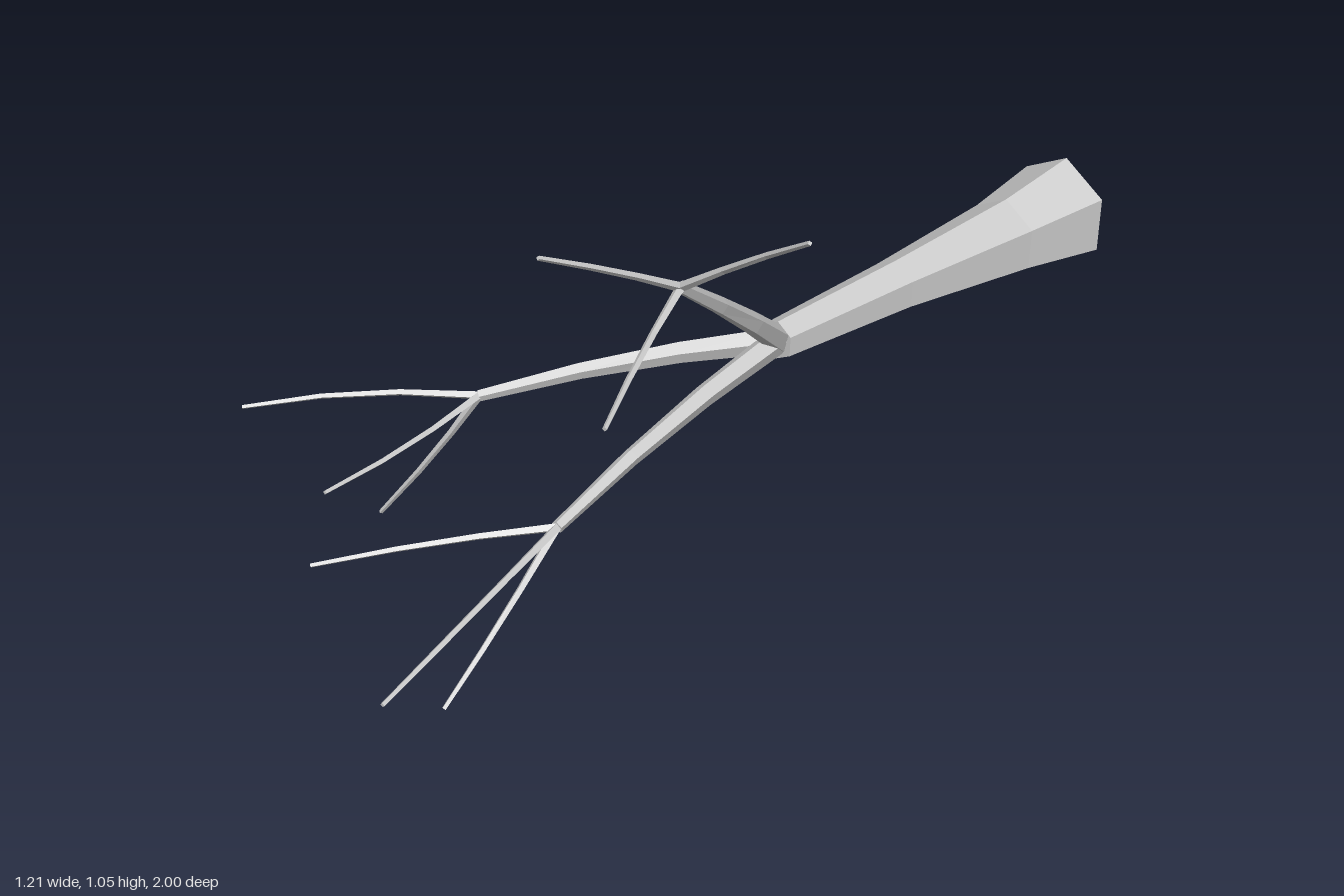
import * as THREE from 'three';

const V = (p) => new THREE.Vector3(...p);

// Closed faceted tube swept through points, one radius per ring
function limb(name, points, radii, sides, material) {
  const pts = points.map(V);
  const rings = radii.length;
  const curve = new THREE.CatmullRomCurve3(pts);
  const pos = [], index = [];
  for (let i = 0; i < rings; i++) {
    const t = i / (rings - 1);
    const centre = curve.getPoint(t);
    const dir = curve.getTangent(t);
    const side = new THREE.Vector3(0, 1, 0).cross(dir).normalize();
    const up = dir.clone().cross(side);
    for (let j = 0; j < sides; j++) {
      const a = (j / sides) * Math.PI * 2;
      const p = centre.clone()
        .addScaledVector(up, Math.cos(a) * radii[i])
        .addScaledVector(side, -Math.sin(a) * radii[i]);
      pos.push(p.x, p.y, p.z);
    }
  }
  // Side walls
  for (let i = 0; i < rings - 1; i++) {
    for (let j = 0; j < sides; j++) {
      const k = (j + 1) % sides;
      const a = i * sides + j, b = i * sides + k;
      const c = a + sides, d = b + sides;
      index.push(a, c, b, b, c, d);
    }
  }
  // End caps
  const last = (rings - 1) * sides;
  for (let j = 1; j < sides - 1; j++) {
    index.push(0, j, j + 1);
    index.push(last, last + j + 1, last + j);
  }
  // Orient every face outward
  const geo = new THREE.BufferGeometry();
  geo.setAttribute('position', new THREE.Float32BufferAttribute(pos, 3));
  const first = [0, sides, 1].map((n) => new THREE.Vector3().fromArray(pos, n * 3));
  const normal = first[1].clone().sub(first[0]).cross(first[2].clone().sub(first[0]));
  if (normal.dot(first[0].clone().sub(curve.getPoint(0))) < 0) {
    for (let n = 0; n < index.length; n += 3) [index[n + 1], index[n + 2]] = [index[n + 2], index[n + 1]];
  }
  geo.setIndex(index);
  const flat = geo.toNonIndexed();
  flat.computeVertexNormals();
  const mesh = new THREE.Mesh(flat, material);
  mesh.name = name;
  return mesh;
}

export function createModel() {
  const root = new THREE.Group();
  root.name = 'fallenTree';
  const bark = new THREE.MeshStandardMaterial({ color: 0xcccccc, flatShading: true });

  // Trunk, lying along z with its flared foot at the back
  root.add(limb('trunk',
    [[0.02, 0.395, -0.99], [0.033, 0.403, -0.8], [0.053, 0.424, -0.47], [0.073, 0.44, -0.14]],
    [0.117, 0.086, 0.056, 0.041], 6, bark));

  // Each bough ends in a fork of three twigs, given as [middle, tip]
  const start = [0.073, 0.44, -0.145];
  const boughs = [
    { name: 'upperBough', mid: [0.178, 0.625, 0.055], fork: [0.262, 0.803, 0.262], twigs: [
      [[0.42, 0.92, 0.252], [0.6, 1.045, 0.272]],
      [[0.265, 0.893, 0.41], [0.262, 0.98, 0.57]],
      [[0.332, 0.757, 0.41], [0.43, 0.725, 0.57]],
    ] },
    { name: 'rightBough', mid: [-0.115, 0.392, 0.07], fork: [-0.285, 0.327, 0.31], twigs: [
      [[-0.455, 0.317, 0.47], [-0.6, 0.288, 0.65]],
      [[-0.358, 0.185, 0.365], [-0.473, 0.005, 0.43]],
      [[-0.242, 0.32, 0.51], [-0.197, 0.336, 0.73]],
    ] },
    { name: 'frontBough', mid: [0.128, 0.412, 0.18], fork: [0.2, 0.367, 0.5], twigs: [
      [[0.282, 0.352, 0.74], [0.362, 0.325, 1.0]],
      [[0.233, 0.255, 0.655], [0.25, 0.142, 0.8]],
      [[0.068, 0.34, 0.665], [-0.072, 0.298, 0.85]],
    ] },
  ];
  for (const { name, mid, fork, twigs } of boughs) {
    const group = new THREE.Group();
    group.name = name;
    group.add(limb(name + 'Stem', [start, mid, fork], [0.027, 0.022, 0.017, 0.012], 5, bark));
    twigs.forEach(([m, tip], i) => group.add(
      limb(name + 'Twig' + (i + 1), [fork, m, tip], [0.009, 0.007, 0.006, 0.0045], 4, bark)));
    root.add(group);
  }
  return root;
}
